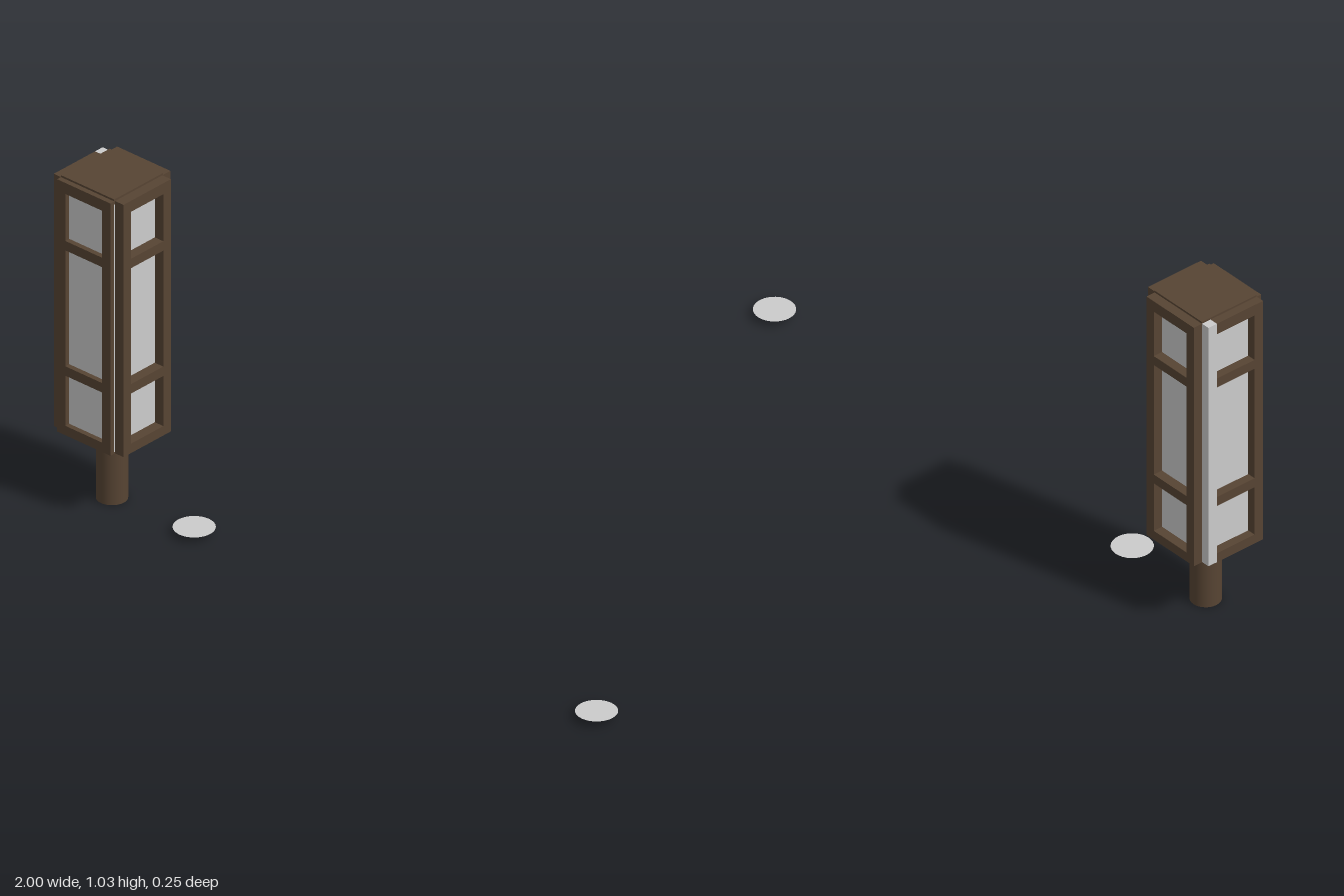
import * as THREE from 'three';

export function createModel() {
  const root = new THREE.Group();
  const wood = new THREE.MeshStandardMaterial({ color: 0x574433 });
  const woodOpen = new THREE.MeshStandardMaterial({ color: 0x574433, side: THREE.DoubleSide });
  const grey = new THREE.MeshStandardMaterial({ color: 0xcccccc });
  const greyOpen = new THREE.MeshStandardMaterial({ color: 0xcccccc, side: THREE.DoubleSide });

  const add = (parent, name, geometry, material, x, y, z) => {
    const mesh = new THREE.Mesh(geometry, material);
    mesh.name = name;
    mesh.position.set(x, y, z);
    parent.add(mesh);
    return mesh;
  };
  const box = (parent, name, w, h, d, x, y, z, material = wood) =>
    add(parent, name, new THREE.BoxGeometry(w, h, d), material, x, y, z);

  const lantern = new THREE.Group();
  lantern.name = 'lantern';
  lantern.position.set(-0.872, 0, 0.007);
  root.add(lantern);

  // Round post, open at the bottom
  add(lantern, 'post', new THREE.CylinderGeometry(0.045, 0.045, 0.22, 32, 1, true), woodOpen, 0, 0.11, 0);

  // Glass body closed by a base and a lid
  box(lantern, 'glass', 0.2, 0.79, 0.2, 0, 0.62, 0, grey);
  box(lantern, 'base', 0.2, 0.012, 0.2, 0, 0.226, 0);
  box(lantern, 'lid', 0.2, 0.016, 0.2, 0, 1.023, 0);

  // One frame per side: two stiles and four rails [bottom, top]
  const rails = [[0.22, 0.25], [0.41, 0.44], [0.81, 0.84], [0.99, 1.025]];
  const sides = [
    { name: 'front', turn: 0, depth: 0.016, width: 0.2 },
    { name: 'left', turn: Math.PI / 2, depth: 0.032, width: 0.194 },
    { name: 'back', turn: Math.PI, depth: 0.03, width: 0.2 },
    { name: 'right', turn: -Math.PI / 2, depth: 0.027, width: 0.2 },
  ];
  for (const { name, turn, depth, width } of sides) {
    const frame = new THREE.Group();
    frame.name = name + 'Frame';
    frame.rotation.y = turn;
    lantern.add(frame);
    const z = 0.1 + depth / 2;
    for (const s of [-1, 1]) {
      // The rear stile of the right frame is left plain grey
      const plain = name === 'right' && s < 0;
      box(frame, 'stile', 0.031, 0.805, depth, s * (width / 2 - 0.0155), 0.6225, z, plain ? grey : wood);
    }
    for (const [bottom, top] of rails) {
      box(frame, 'rail', width - 0.062, top - bottom, depth, 0, (bottom + top) / 2, z);
    }
  }

  // Two flat discs near the ground
  for (const x of [-0.57, 0.94]) {
    const disc = add(root, 'disc', new THREE.CircleGeometry(0.06, 32), greyOpen, x, 0.02, 0);
    disc.rotation.x = -Math.PI / 2;
  }
  return root;
}
